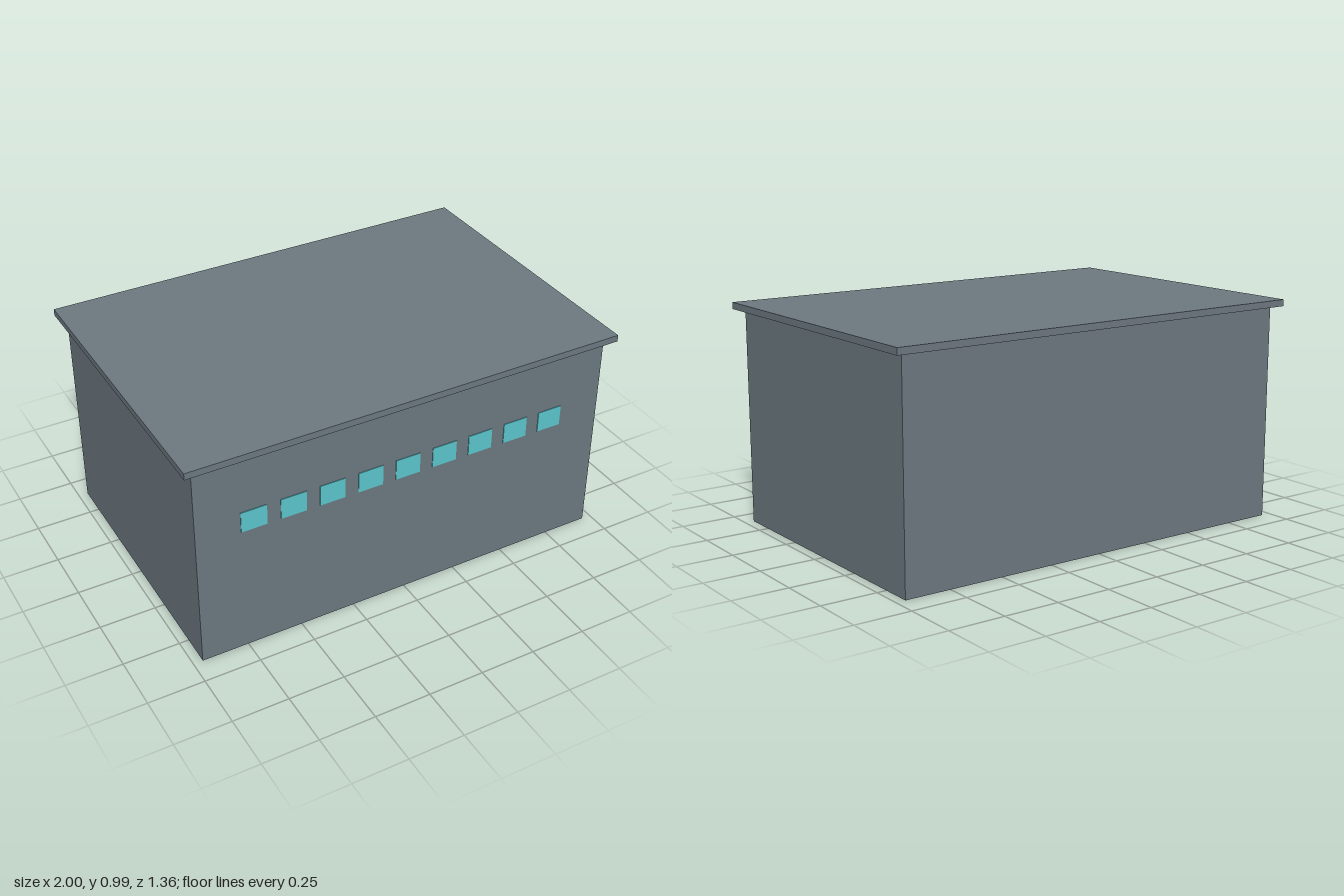
import * as THREE from 'three';

export function createModel() {
  const model = new THREE.Group();
  model.name = 'building';

  const wallGray = new THREE.MeshStandardMaterial({ color: 0x6c7880 });
  wallGray.name = 'slate gray';
  const glassCyan = new THREE.MeshStandardMaterial({ color: 0x5cc6ce });
  glassCyan.name = 'window cyan';

  const addBox = (name, material, [w, h, d], [x, y, z], parent = model) => {
    const mesh = new THREE.Mesh(new THREE.BoxGeometry(w, h, d), material);
    mesh.name = name;
    mesh.position.set(x, y, z);
    parent.add(mesh);
    return mesh;
  };

  // Main block and the overhanging roof slab
  const wallHeight = 0.962, roofThickness = 0.03, wallDepth = 1.278;
  addBox('walls', wallGray, [1.916, wallHeight, wallDepth], [0, wallHeight / 2, 0]);
  addBox('roof', wallGray, [2, roofThickness, 1.356], [0, wallHeight + roofThickness / 2, 0]);

  // Row of nine small windows along the front
  const windows = new THREE.Group();
  windows.name = 'windows';
  model.add(windows);
  const count = 9, spacing = 0.176;
  for (let i = 0; i < count; i++) {
    const x = (i - (count - 1) / 2) * spacing;
    addBox(`window${i + 1}`, glassCyan, [0.115, 0.095, 0.006], [x, 0.643, wallDepth / 2], windows);
  }

  return model;
}
